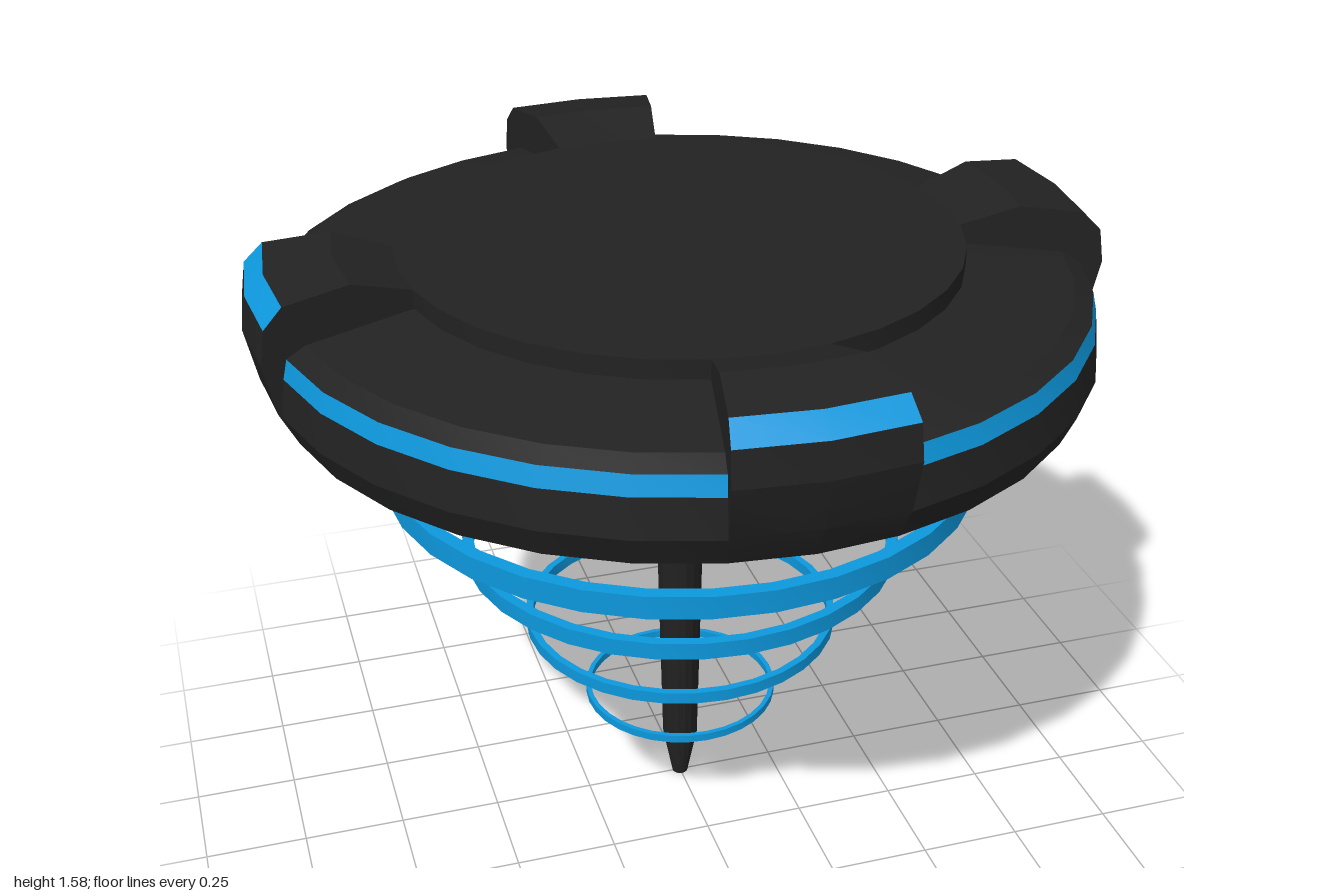
import * as THREE from 'three';
import { toCreasedNormals } from 'three/addons/utils/BufferGeometryUtils.js';

const SIDES = 32;
const STEP = (Math.PI * 2) / SIDES;
const black = new THREE.MeshStandardMaterial({ color: 0x222222 });
const blackThin = new THREE.MeshStandardMaterial({ color: 0x222222, side: THREE.DoubleSide });
const blue = new THREE.MeshStandardMaterial({ color: 0x0d98dd });

// Revolve a profile of [radius, height] points, listed bottom to top on the outside
function lathe(name, points, material, segments = SIDES, start = 0, length = Math.PI * 2) {
  const profile = points.map(([r, y]) => new THREE.Vector2(r, y));
  const geometry = new THREE.LatheGeometry(profile, segments, start, length);
  const mesh = new THREE.Mesh(toCreasedNormals(geometry, 0.3), material);
  mesh.name = name;
  return mesh;
}

// Clamp over the rim: two lathe segments wide, closed by flat cheeks
function createClamp() {
  const clamp = new THREE.Group();
  clamp.name = 'rimClamp';
  const outer = [[0.935, 1.23], [0.975, 1.31], [1.0, 1.43], [0.987, 1.51]];
  const top = [[0.942, 1.555], [0.79, 1.575], [0.652, 1.535]];
  const arc = [2, -STEP, STEP * 2];
  clamp.add(lathe('clampOuter', outer, black, ...arc));
  clamp.add(lathe('clampStripe', [outer[3], top[0]], blue, ...arc));
  clamp.add(lathe('clampTop', top, black, ...arc));

  const outline = [...outer, ...top, [0.64, 1.44]].map(([r, y]) => new THREE.Vector2(r, y));
  for (const side of [-1, 1]) {
    const cheek = new THREE.Mesh(new THREE.ShapeGeometry(new THREE.Shape(outline)), blackThin);
    cheek.name = 'clampCheek';
    cheek.rotation.y = side * STEP - Math.PI / 2;
    clamp.add(cheek);
  }
  return clamp;
}

export function createModel() {
  const model = new THREE.Group();
  model.name = 'spinningTop';

  // Disc body, split at the coloured stripe
  model.add(lathe('bodyLower', [
    [0, 1.06], [0.36, 1.06], [0.45, 1.12], [0.655, 1.12], [0.80, 1.155],
    [0.935, 1.23], [0.966, 1.30], [0.955, 1.39],
  ], black));
  model.add(lathe('bodyStripe', [[0.955, 1.39], [0.944, 1.435]], blue));
  model.add(lathe('bodyUpper', [
    [0.944, 1.435], [0.90, 1.458], [0.652, 1.49], [0.652, 1.535], [0, 1.535],
  ], black));

  // Four clamps around the rim
  for (let i = 0; i < 4; i++) {
    const clamp = createClamp();
    clamp.rotation.y = (i * Math.PI) / 2;
    model.add(clamp);
  }

  // Tapered spindle
  model.add(lathe('spindle', [[0, 0], [0.02, 0], [0.045, 0.13], [0.065, 1.08]], black, 16));

  // Floating rings, shrinking downwards: [outer radius, centre height, band height]
  const rings = [[0.72, 0.985, 0.056], [0.54, 0.75, 0.042], [0.393, 0.515, 0.03], [0.245, 0.283, 0.02]];
  for (const [r, y, h] of rings) {
    const inner = r - h * 0.6;
    model.add(lathe('floatingRing', [
      [inner, y - h / 2], [r, y - h / 2], [r, y + h / 2], [inner, y + h / 2], [inner, y - h / 2],
    ], blue));
  }
  return model;
}
